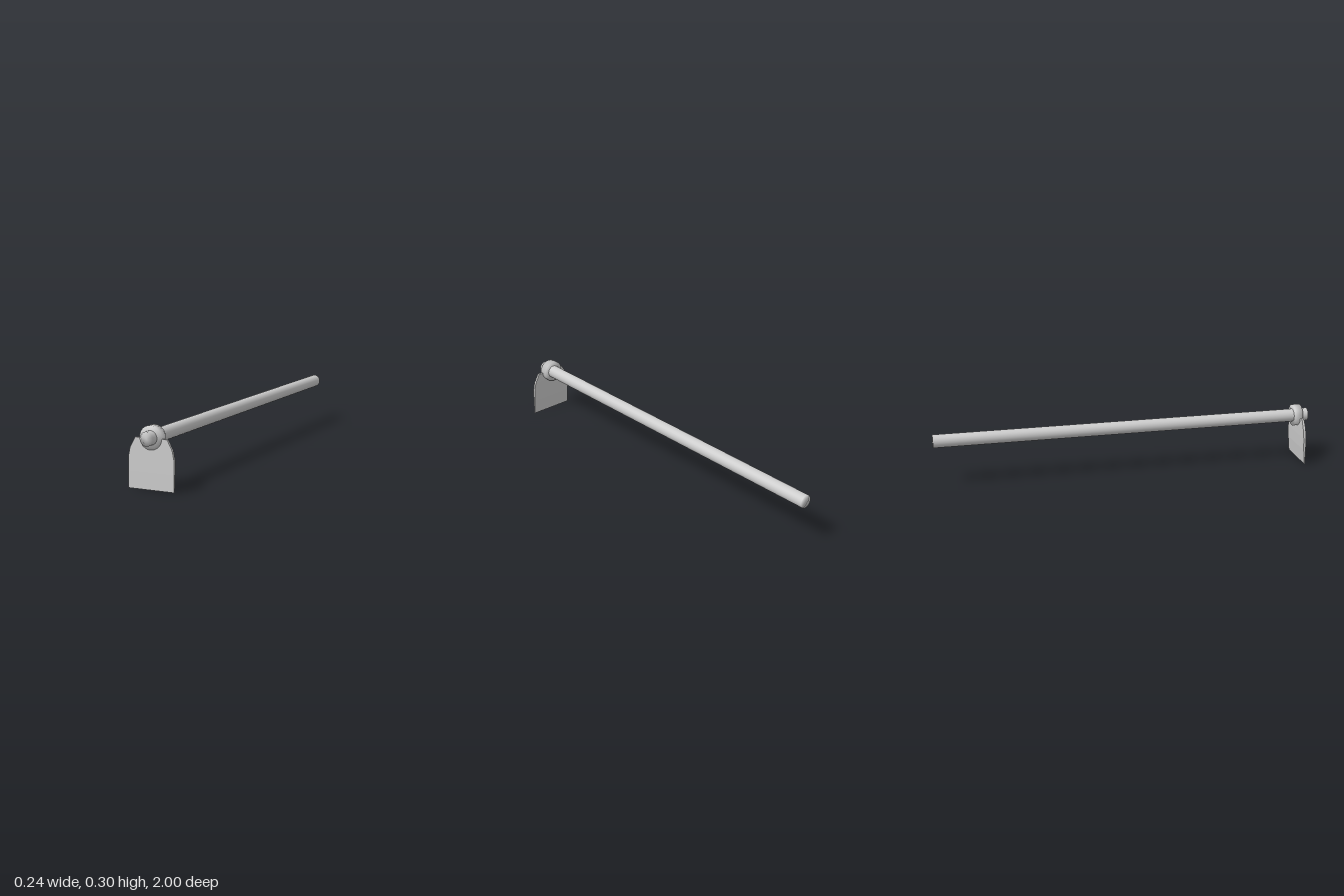
import * as THREE from 'three';
import { mergeVertices } from 'three/addons/utils/BufferGeometryUtils.js';

const AXIS_Y = 0.243;

// Cylinder along z with normals blended over its rims
function softRod(name, radius, zBack, zFront, material) {
  let geo = new THREE.CylinderGeometry(radius, radius, zFront - zBack, 24);
  geo.deleteAttribute('uv');
  geo.deleteAttribute('normal');
  geo = mergeVertices(geo, 1e-4);
  geo.computeVertexNormals();
  geo.rotateX(Math.PI / 2);
  const mesh = new THREE.Mesh(geo, material);
  mesh.name = name;
  mesh.position.set(0, AXIS_Y, (zBack + zFront) / 2);
  return mesh;
}

// Thin plate lofted through rectangular sections: [y, half width, back z, front z]
function bladeGeometry() {
  const rows = [
    [0, 0.119, 0.959, 0.962],
    [0.08, 0.119, 0.951, 0.962],
    [0.145, 0.119, 0.948, 0.961],
    [0.192, 0.109, 0.947, 0.96],
    [0.24, 0.083, 0.947, 0.959],
  ];
  const positions = [], index = [];
  for (const [y, w, back, front] of rows) {
    positions.push(-w, y, front, w, y, front, w, y, back, -w, y, back);
  }
  for (let r = 0; r < rows.length - 1; r++) {
    for (let i = 0; i < 4; i++) {
      const a = r * 4 + i, b = r * 4 + (i + 1) % 4;
      index.push(a, b, b + 4, a, b + 4, a + 4);
    }
  }
  const t = (rows.length - 1) * 4;
  index.push(0, 2, 1, 0, 3, 2, t, t + 1, t + 2, t, t + 2, t + 3);
  const geo = new THREE.BufferGeometry();
  geo.setAttribute('position', new THREE.Float32BufferAttribute(positions, 3));
  geo.setIndex(index);
  geo.computeVertexNormals();
  return geo;
}

export function createModel() {
  const group = new THREE.Group();
  group.name = 'hoe';
  const smooth = new THREE.MeshStandardMaterial({ color: 0xcccccc });
  const flat = new THREE.MeshStandardMaterial({ color: 0xcccccc, flatShading: true });

  // Long handle and the collar that holds the blade
  group.add(softRod('handle', 0.034, -1, 1, smooth));
  group.add(softRod('collar', 0.057, 0.921, 0.963, smooth));

  // Blade hanging from the collar, thinning to its cutting edge
  const blade = new THREE.Mesh(bladeGeometry(), flat);
  blade.name = 'blade';
  group.add(blade);
  return group;
}
